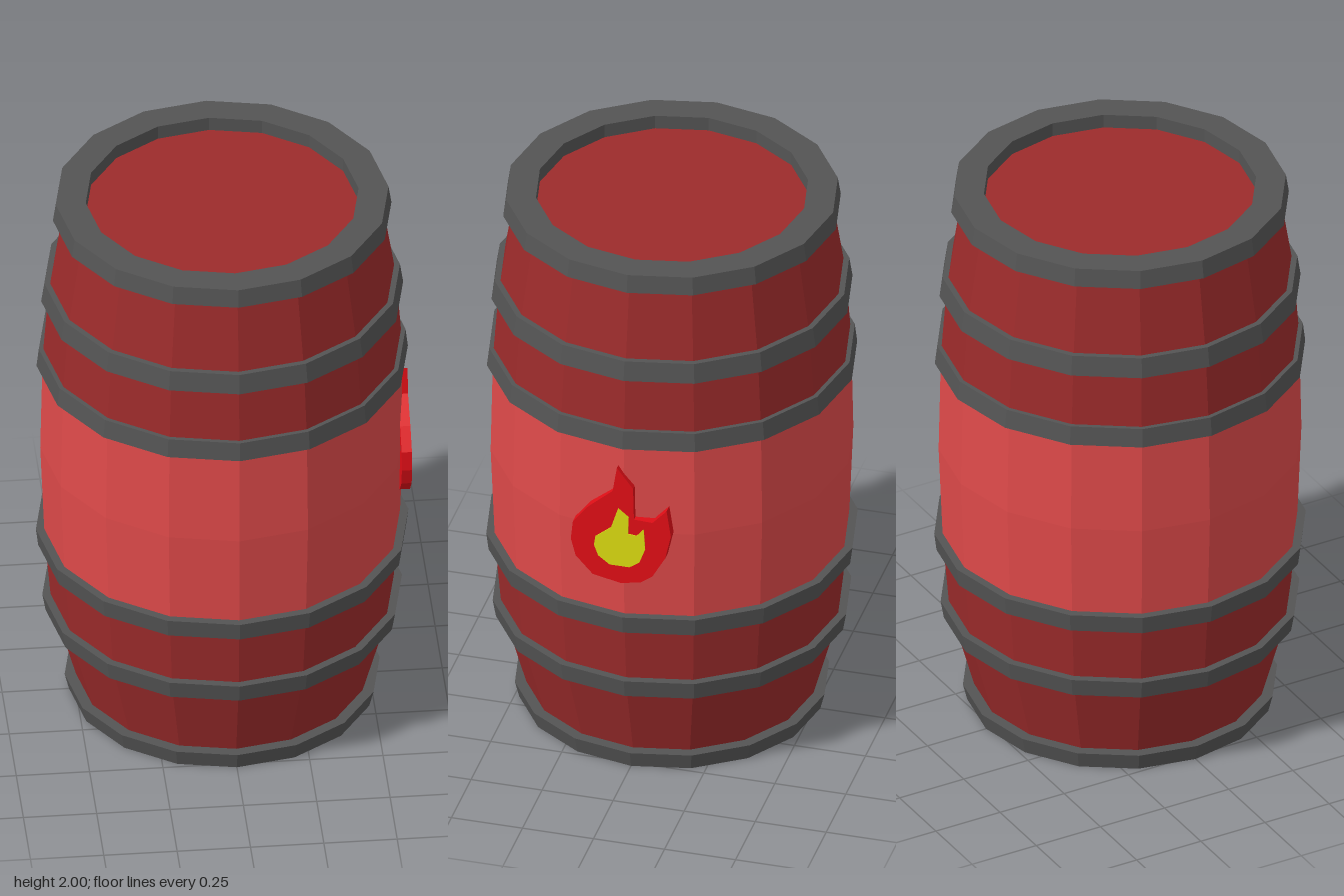
import * as THREE from 'three';

const SIDES = 16;
const mat = (color) => new THREE.MeshStandardMaterial({ color, flatShading: true });

export function createModel() {
  const model = new THREE.Group();
  const darkRed = mat(0x9c2b2b);
  const lightRed = mat(0xe04a4a);
  const iron = mat(0x545454);
  const flameRed = mat(0xe00e16);
  const flameYellow = mat(0xdcdc10);

  const add = (name, geometry, material) => {
    const mesh = new THREE.Mesh(geometry, material);
    mesh.name = name;
    model.add(mesh);
    return mesh;
  };
  const lathe = (points) =>
    new THREE.LatheGeometry(points.map(([r, y]) => new THREE.Vector2(r, y)), SIDES);

  // Staves: dark ends and a lighter belly, profiles run upward
  add('lowerStaves', lathe([[0.49, 0.03], [0.582, 0.36], [0.605, 0.63]]), darkRed);
  add('bellyStaves', lathe([[0.605, 0.63], [0.62, 1.0], [0.612, 1.375]]), lightRed);
  add('upperStaves', lathe([[0.612, 1.375], [0.592, 1.64], [0.54, 1.97]]), darkRed);

  // Recessed lids
  add('topLid', lathe([[0.48, 1.95], [0, 1.95]]), darkRed);
  add('bottomLid', lathe([[0, 0.05], [0.47, 0.05]]), darkRed);

  // Hoops: [name, inner radius, lower y, upper y, lower radius, upper radius]
  const hoops = [
    ['bottomRim', 0.455, 0, 0.06, 0.522, 0.537],
    ['lowerHoop', 0.56, 0.33, 0.395, 0.602, 0.613],
    ['lowerBellyHoop', 0.58, 0.6, 0.665, 0.627, 0.635],
    ['upperBellyHoop', 0.58, 1.34, 1.408, 0.633, 0.625],
    ['upperHoop', 0.56, 1.605, 1.677, 0.617, 0.606],
    ['topRim', 0.465, 1.935, 2, 0.577, 0.567],
  ];
  for (const [name, inner, y0, y1, r0, r1] of hoops) {
    add(name, lathe([[inner, y0], [r0, y0], [r1, y1], [inner, y1], [inner, y0]]), iron);
  }

  // Flame emblem on the left side, outlines as [-z, y]
  const outerFlame = [
    [-0.02, 1.26], [-0.035, 1.165], [-0.12, 1.09], [-0.175, 1.02], [-0.182, 0.95],
    [-0.165, 0.885], [-0.105, 0.82], [-0.005, 0.8], [0.065, 0.815], [0.105, 0.845],
    [0.15, 0.925], [0.17, 1.015], [0.155, 1.115], [0.105, 1.06], [0.04, 1.063],
    [0.037, 1.185],
  ];
  const innerFlame = [
    [-0.015, 1.1], [-0.04, 1.02], [-0.095, 0.975], [-0.1, 0.94], [-0.085, 0.9],
    [-0.045, 0.87], [0.025, 0.87], [0.06, 0.895], [0.08, 0.95], [0.075, 1.03],
    [0.05, 1.0], [0.02, 1.003], [0.022, 1.07],
  ];
  const addFlame = (name, outline, x0, x1, material) => {
    const shape = new THREE.Shape(outline.map(([u, y]) => new THREE.Vector2(u, y)));
    const geometry = new THREE.ExtrudeGeometry(shape, { depth: x1 - x0, bevelEnabled: false });
    geometry.rotateY(Math.PI / 2).translate(x0, 0, 0);
    add(name, geometry, material);
  };
  addFlame('flame', outerFlame, 0.595, 0.63, flameRed);
  addFlame('flameCore', innerFlame, 0.61, 0.633, flameYellow);

  return model;
}
